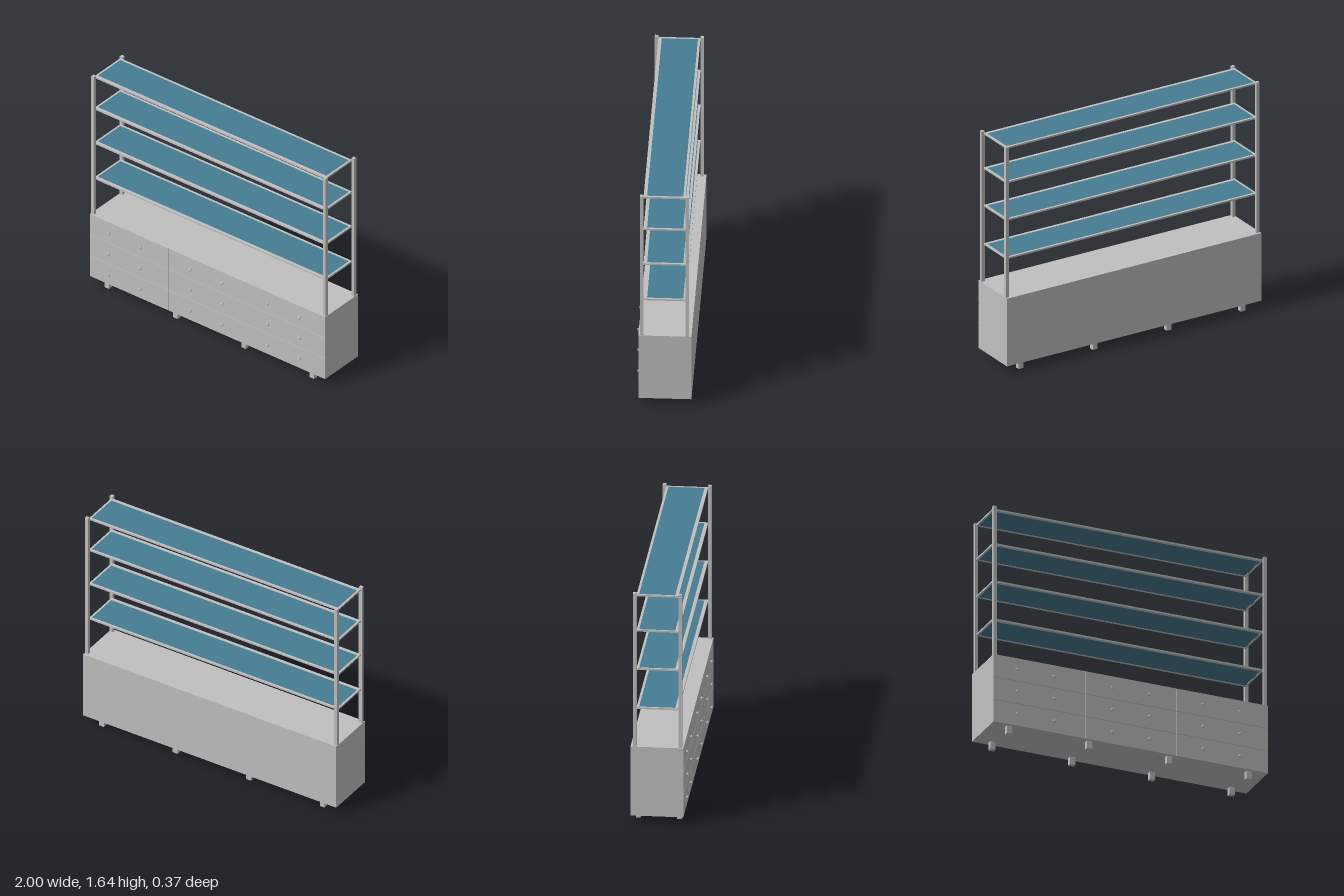
import * as THREE from 'three';

export function createModel() {
  const root = new THREE.Group();
  root.name = 'shelvingSideboard';
  const grey = new THREE.MeshStandardMaterial({ color: 0xc0c0c0 });
  grey.name = 'light grey';
  const teal = new THREE.MeshStandardMaterial({ color: 0x467d92 });
  teal.name = 'teal';

  // Box given by its lower and upper limits on each axis
  const box = (name, [x0, x1], [y0, y1], [z0, z1], material = grey, parent = root) => {
    const mesh = new THREE.Mesh(new THREE.BoxGeometry(x1 - x0, y1 - y0, z1 - z0), material);
    mesh.position.set((x0 + x1) / 2, (y0 + y1) / 2, (z0 + z1) / 2);
    mesh.name = name;
    parent.add(mesh);
  };

  // Cabinet carcass
  box('cabinet', [-1, 1], [0.055, 0.549], [-0.184, 0.163]);

  // Drawer fronts, three columns by three rows, separated by fine gaps
  const columns = [-1, -0.334, 0.332, 1];
  const rows = [0.055, 0.217, 0.382, 0.549];
  const knobX = [[-0.834, -0.564], [-0.14, 0.13], [0.52, 0.79]];
  const knobY = [0.135, 0.3, 0.463];
  const gap = 0.0015;
  const knobProfile = [[0, 0], [0.005, 0], [0.005, 0.007], [0.01, 0.01], [0.01, 0.014], [0.006, 0.017], [0, 0.017]]
    .map(([r, y]) => new THREE.Vector2(r, y));
  const knobGeometry = new THREE.LatheGeometry(knobProfile, 16).rotateX(Math.PI / 2);
  for (let c = 0; c < 3; c++) {
    for (let r = 0; r < 3; r++) {
      const drawer = new THREE.Group();
      drawer.name = 'drawer';
      root.add(drawer);
      box('drawerFront',
        [columns[c] + (c ? gap : 0), columns[c + 1] - (c < 2 ? gap : 0)],
        [rows[r] + (r ? gap : 0), rows[r + 1] - (r < 2 ? gap : 0)],
        [0.163, 0.17], grey, drawer);
      for (const x of knobX[c]) {
        const knob = new THREE.Mesh(knobGeometry, grey);
        knob.name = 'knob';
        knob.position.set(x, knobY[r], 0.169);
        drawer.add(knob);
      }
    }
  }

  // Feet, two rows of four
  for (const x of [-0.873, -0.291, 0.29, 0.872]) {
    for (const z of [-0.142, 0.133]) {
      box('foot', [x - 0.019, x + 0.019], [0, 0.055], [z - 0.016, z + 0.016]);
    }
  }

  // Corner posts
  for (const x of [-0.985, 0.985]) {
    for (const z of [-0.156, 0.148]) {
      box('post', [x - 0.012, x + 0.012], [0.549, 1.645], [z - 0.012, z + 0.012]);
    }
  }

  // Shelves: a rail frame around a coloured panel
  for (const y of [0.822, 1.102, 1.376, 1.628]) {
    const shelf = new THREE.Group();
    shelf.name = 'shelf';
    root.add(shelf);
    const height = [y - 0.006, y + 0.006];
    box('frontRail', [-0.99, 0.98], height, [0.113, 0.136], grey, shelf);
    box('backRail', [-0.99, 0.98], height, [-0.144, -0.128], grey, shelf);
    box('leftRail', [0.966, 0.98], height, [-0.128, 0.113], grey, shelf);
    box('rightRail', [-0.99, -0.976], height, [-0.128, 0.113], grey, shelf);
    box('panel', [-0.976, 0.966], [y - 0.004, y + 0.004], [-0.128, 0.113], teal, shelf);
  }

  return root;
}
